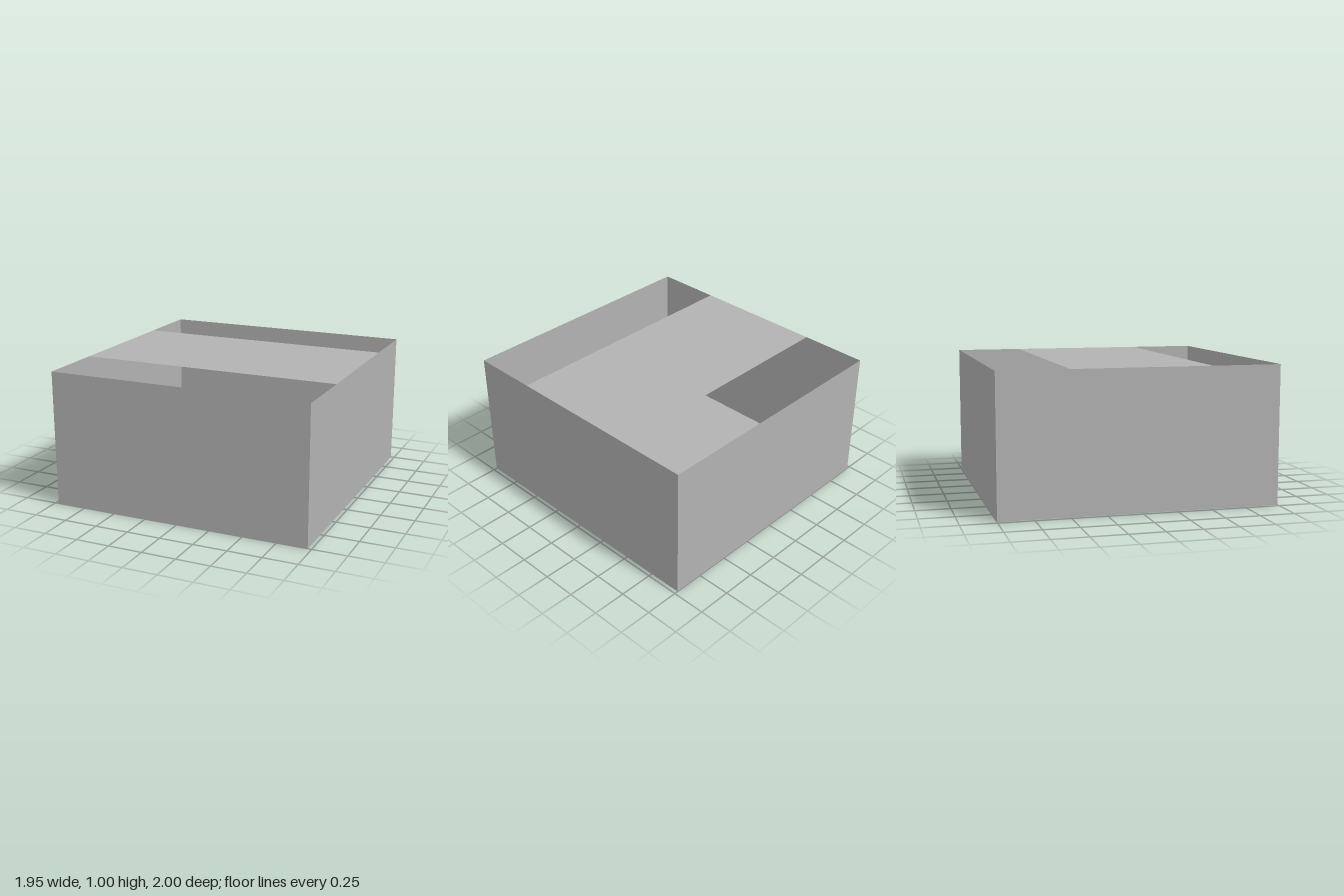
import * as THREE from 'three';

const WIDTH = 1.945, HEIGHT = 1, DEPTH = 2, STRIP = 1;

export function createModel() {
  const model = new THREE.Group();
  model.name = 'openBox';
  const grey = new THREE.MeshStandardMaterial({ color: 0xb2b2b2, side: THREE.DoubleSide });
  grey.name = 'grey';

  // One thin sheet, turned to face outwards
  function panel(name, w, h, position, rx = 0, ry = 0) {
    const mesh = new THREE.Mesh(new THREE.PlaneGeometry(w, h), grey);
    mesh.name = name;
    mesh.position.set(...position);
    mesh.rotation.set(rx, ry, 0);
    model.add(mesh);
  }

  // Floor, and the strip bridging the middle of the open top
  panel('floor', WIDTH, DEPTH, [0, 0, 0], Math.PI / 2);
  panel('topStrip', WIDTH, STRIP, [0, HEIGHT, 0], -Math.PI / 2);

  // Four walls
  panel('frontWall', WIDTH, HEIGHT, [0, HEIGHT / 2, DEPTH / 2]);
  panel('backWall', WIDTH, HEIGHT, [0, HEIGHT / 2, -DEPTH / 2], 0, Math.PI);
  for (const [name, side] of [['leftWall', 1], ['rightWall', -1]]) {
    panel(name, DEPTH, HEIGHT, [side * WIDTH / 2, HEIGHT / 2, 0], 0, side * Math.PI / 2);
  }

  return model;
}
